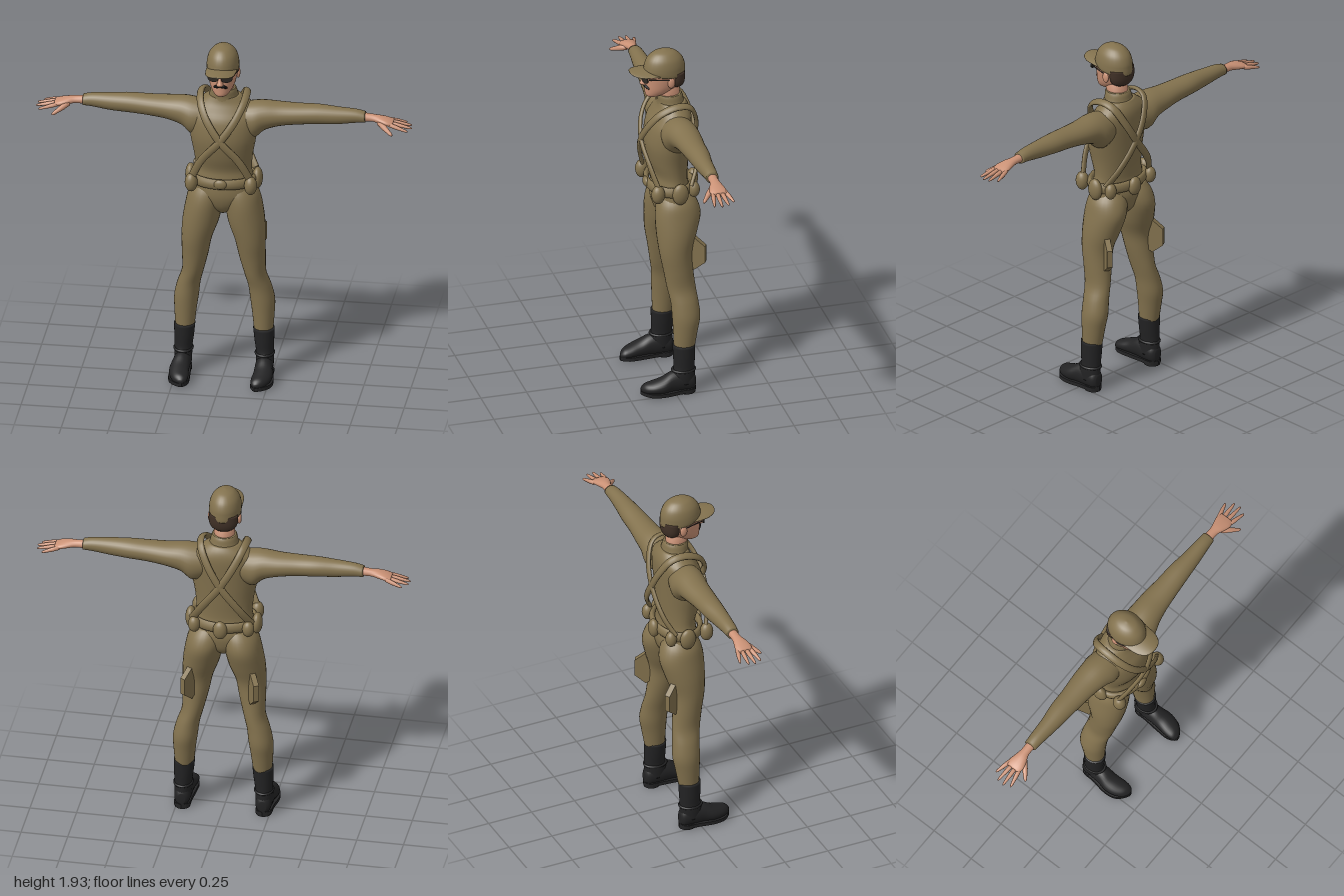
import * as THREE from 'three';
import { mergeVertices } from 'three/addons/utils/BufferGeometryUtils.js';

const material = (name, color) => new THREE.MeshStandardMaterial({ name, color });

// Smooth interpolation through rows of numbers
function smoothRows(rows, steps) {
  const out = [];
  for (let i = 0; i < rows.length - 1; i++) {
    const a = rows[Math.max(i - 1, 0)], b = rows[i], c = rows[i + 1], d = rows[Math.min(i + 2, rows.length - 1)];
    for (let s = 0; s < steps; s++) {
      const t = s / steps;
      out.push(b.map((_, k) => b[k] + 0.5 * t * (c[k] - a[k]
        + t * (2 * a[k] - 5 * b[k] + 4 * c[k] - d[k] + t * (3 * (b[k] - c[k]) + d[k] - a[k])))));
    }
  }
  out.push(rows[rows.length - 1]);
  return out;
}

// Elliptical cross-sections along an axis; row = [position, centreA, centreB, radiusA, radiusB]
function loft(axis, rows, { sides = 28, steps = 4, rule = null } = {}) {
  const rings = smoothRows(rows, steps), pos = [], index = [];
  const put = (t, a, b) => {
    const p = axis === 'x' ? [t, a, b] : axis === 'y' ? [a, t, b] : [a, b, t];
    if (rule) rule(p);
    pos.push(...p);
  };
  for (const [t, a, b, ra, rb] of rings) {
    for (let j = 0; j < sides; j++) {
      const q = (j / sides) * Math.PI * 2;
      put(t, a + ra * Math.cos(q), b + rb * Math.sin(q));
    }
  }
  const last = rings.length - 1, flip = (axis === 'y') !== (rows[0][0] > rows[rows.length - 1][0]);
  const tri = (a, b, c) => (flip ? index.push(a, c, b) : index.push(a, b, c));
  for (let i = 0; i < last; i++) for (let j = 0; j < sides; j++) {
    const k = (j + 1) % sides, a = i * sides + j, b = i * sides + k;
    tri(a, b, b + sides);
    tri(a, b + sides, a + sides);
  }
  for (const i of [0, last]) {
    const centre = pos.length / 3;
    put(rings[i][0], rings[i][1], rings[i][2]);
    for (let j = 0; j < sides; j++) {
      const a = i * sides + j, b = i * sides + (j + 1) % sides;
      i ? tri(centre, a, b) : tri(centre, b, a);
    }
  }
  const geo = new THREE.BufferGeometry();
  geo.setAttribute('position', new THREE.Float32BufferAttribute(pos, 3));
  geo.setIndex(index);
  geo.computeVertexNormals();
  return geo;
}

// Flattened band swept along a curve, its face turned away from a centre
function band(points, width, thick, centre, closed = false) {
  const curve = new THREE.CatmullRomCurve3(points.map(p => new THREE.Vector3(...p)), closed);
  const n = 64, m = 10, pos = [], index = [];
  for (let i = 0; i <= n; i++) {
    const p = curve.getPointAt(i / n), t = curve.getTangentAt(i / n);
    const out = p.clone().sub(centre);
    out.addScaledVector(t, -out.dot(t)).normalize();
    const side = new THREE.Vector3().crossVectors(t, out);
    for (let j = 0; j < m; j++) {
      const q = (j / m) * Math.PI * 2;
      const v = p.clone().addScaledVector(out, Math.cos(q) * thick).addScaledVector(side, Math.sin(q) * width);
      pos.push(v.x, v.y, v.z);
      if (i < n) {
        const a = i * m + j, b = i * m + (j + 1) % m;
        index.push(a, b, b + m, a, b + m, a + m);
      }
    }
  }
  const geo = new THREE.BufferGeometry();
  geo.setAttribute('position', new THREE.Float32BufferAttribute(pos, 3));
  geo.setIndex(index);
  geo.computeVertexNormals();
  return geo;
}

const ball = (x, y, z, rx, ry, rz) => new THREE.SphereGeometry(1, 20, 14).scale(rx, ry, rz).translate(x, y, z);

// Rounded tapering rod between two points
function rod(from, to, r1, r2) {
  const a = new THREE.Vector3(...from), d = new THREE.Vector3(...to).sub(a), L = d.length();
  const profile = [[0, 0], [r1, 0.001], [r1, L * 0.4], [r2, L * 0.88], [r2 * 0.6, L * 0.97], [0, L]];
  const geo = new THREE.LatheGeometry(profile.map(p => new THREE.Vector2(...p)), 10);
  geo.applyQuaternion(new THREE.Quaternion().setFromUnitVectors(new THREE.Vector3(0, 1, 0), d.normalize()));
  return geo.translate(a.x, a.y, a.z);
}

function mirrored(geo) {
  const g = geo.index ? geo.clone() : mergeVertices(geo);
  g.scale(-1, 1, 1);
  const ix = g.index.array;
  for (let i = 0; i < ix.length; i += 3) [ix[i], ix[i + 1]] = [ix[i + 1], ix[i]];
  return g;
}

export function createModel() {
  const group = new THREE.Group();
  const khaki = material('khaki cloth', 0x83724e), skin = material('skin', 0xcb9276);
  const leather = material('black leather', 0x232324), hairBrown = material('dark brown hair', 0x3f3026);
  const black = material('moustache black', 0x121010), glass = material('tinted lens', 0x2e2924);
  const add = (name, geo, mat) => {
    const mesh = new THREE.Mesh(geo, mat);
    mesh.name = name;
    group.add(mesh);
  };
  const pair = (name, geo, mat) => {
    add(name + 'Left', geo, mat);
    add(name + 'Right', mirrored(geo), mat);
  };

  // Uniform
  add('torso', loft('y', [[0.96, 0, -0.03, 0.03, 0.05], [1.0, 0, -0.035, 0.1, 0.085], [1.05, 0, -0.035, 0.16, 0.102],
    [1.1, 0, -0.035, 0.17, 0.105], [1.17, 0, -0.03, 0.157, 0.092], [1.22, 0, -0.03, 0.15, 0.09], [1.3, 0, -0.02, 0.157, 0.106],
    [1.4, 0, -0.015, 0.175, 0.118], [1.5, 0, -0.025, 0.185, 0.115], [1.56, 0, -0.04, 0.17, 0.1],
    [1.6, 0, -0.045, 0.125, 0.085], [1.63, 0, -0.04, 0.085, 0.072]]), khaki);
  add('collar', loft('y', [[1.6, 0, -0.04, 0.09, 0.078], [1.63, 0, -0.036, 0.077, 0.07], [1.66, 0, -0.032, 0.07, 0.068],
    [1.675, 0, -0.03, 0.064, 0.062]]), khaki);
  pair('sleeve', loft('x', [[0.08, 1.5, -0.035, 0.08, 0.08], [0.16, 1.492, -0.04, 0.102, 0.095], [0.22, 1.517, -0.045, 0.08, 0.085],
    [0.3, 1.527, -0.05, 0.064, 0.075], [0.4, 1.533, -0.05, 0.056, 0.065], [0.5, 1.537, -0.052, 0.053, 0.058],
    [0.6, 1.537, -0.05, 0.047, 0.047], [0.7, 1.54, -0.052, 0.037, 0.038], [0.75, 1.536, -0.053, 0.03, 0.034]]), khaki);
  pair('trouserLeg', loft('y', [[1.12, 0.08, -0.04, 0.07, 0.08], [1.07, 0.09, -0.045, 0.095, 0.108], [1.0, 0.104, -0.047, 0.099, 0.122],
    [0.9, 0.122, -0.035, 0.097, 0.108], [0.8, 0.142, -0.025, 0.081, 0.088], [0.7, 0.152, -0.035, 0.07, 0.08],
    [0.6, 0.165, -0.048, 0.058, 0.077], [0.52, 0.188, -0.06, 0.061, 0.074], [0.44, 0.202, -0.065, 0.065, 0.075],
    [0.36, 0.207, -0.06, 0.059, 0.066], [0.26, 0.209, -0.053, 0.05, 0.055]]), khaki);

  // Hands
  pair('palm', loft('x', [[0.73, 1.536, -0.053, 0.024, 0.027], [0.79, 1.534, -0.053, 0.02, 0.025], [0.83, 1.528, -0.05, 0.021, 0.036],
    [0.87, 1.52, -0.05, 0.018, 0.046], [0.9, 1.514, -0.052, 0.012, 0.041]], { sides: 16 }), skin);
  const fingers = [[-0.02, 0.982, 1.488, 0], [-0.042, 1.0, 1.492, -0.038], [-0.065, 0.995, 1.494, -0.075], [-0.086, 0.965, 1.494, -0.112]];
  for (const [z, x, y, tipZ] of fingers) pair('finger', rod([0.875, 1.516, z], [x, y, tipZ], 0.0115, 0.007), skin);
  pair('thumb', rod([0.825, 1.52, -0.03], [0.905, 1.478, 0.04], 0.015, 0.009), skin);

  // Boots
  pair('bootShaft', loft('y', [[0.28, 0.21, -0.05, 0.056, 0.06], [0.21, 0.213, -0.05, 0.052, 0.058], [0.15, 0.216, -0.05, 0.047, 0.056],
    [0.11, 0.217, -0.045, 0.047, 0.062], [0.06, 0.217, -0.045, 0.045, 0.062]]), leather);
  pair('bootFoot', loft('z', [[-0.11, 0.217, 0.06, 0.02, 0.03], [-0.09, 0.217, 0.065, 0.04, 0.055], [-0.03, 0.217, 0.07, 0.046, 0.062],
    [0.02, 0.219, 0.068, 0.047, 0.058], [0.07, 0.223, 0.055, 0.052, 0.045], [0.12, 0.216, 0.047, 0.05, 0.034],
    [0.16, 0.206, 0.04, 0.036, 0.026], [0.18, 0.2, 0.035, 0.012, 0.01]],
  { rule: p => { p[1] = Math.max(p[1], 0.02); } }), leather);
  const outline = new THREE.Shape();
  outline.moveTo(0.217, -0.114);
  outline.splineThru([[0.258, -0.09], [0.264, -0.02], [0.278, 0.07], [0.262, 0.14], [0.2, 0.184], [0.166, 0.14],
    [0.166, 0.07], [0.174, -0.02], [0.178, -0.09], [0.217, -0.114]].map(p => new THREE.Vector2(...p)));
  const sole = new THREE.ExtrudeGeometry(outline, { depth: 0.02, bevelEnabled: false, curveSegments: 3 });
  pair('bootSole', sole.rotateX(Math.PI / 2).translate(0, 0.028, 0), leather);
  pair('bootHeel', new THREE.CylinderGeometry(1, 1, 0.03, 20).scale(0.042, 1, 0.045).translate(0.217, 0.015, -0.066), leather);
  pair('bootStrap', new THREE.TorusGeometry(1, 0.12, 8, 24).rotateX(Math.PI / 2).scale(0.048, 0.06, 0.06).translate(0.216, 0.135, -0.047), leather);

  // Head
  add('neck', loft('y', [[1.6, 0, -0.035, 0.055, 0.055], [1.72, 0, -0.02, 0.055, 0.062]], { steps: 1 }), skin);
  add('head', loft('y', [[1.665, 0, 0.062, 0.018, 0.024], [1.678, 0, 0.05, 0.04, 0.051], [1.71, 0, 0.022, 0.062, 0.081],
    [1.75, 0, 0.004, 0.074, 0.1], [1.8, 0, -0.002, 0.08, 0.105], [1.86, 0, -0.005, 0.074, 0.095]]), skin);
  add('nose', loft('y', [[1.735, 0, 0.1, 0.01, 0.01], [1.746, 0, 0.108, 0.018, 0.024], [1.77, 0, 0.1, 0.011, 0.021],
    [1.8, 0, 0.096, 0.008, 0.012]], { sides: 12 }), skin);
  pair('ear', ball(0.079, 1.765, -0.02, 0.011, 0.03, 0.02), skin);
  add('hair', loft('y', [[1.72, 0, -0.065, 0.045, 0.03], [1.735, 0, -0.062, 0.066, 0.044], [1.765, 0, -0.062, 0.077, 0.05],
    [1.81, 0, -0.06, 0.078, 0.05]]), hairBrown);
  add('moustacheCentre', ball(0, 1.737, 0.101, 0.018, 0.008, 0.014), black);
  pair('moustacheEnd', rod([0.005, 1.738, 0.106], [0.036, 1.722, 0.087], 0.01, 0.007), black);

  // Sunglasses
  const lens = new THREE.CylinderGeometry(1, 1, 0.006, 20).rotateX(Math.PI / 2).scale(0.031, 0.021, 1);
  pair('lens', lens.rotateY(0.32).translate(0.037, 1.785, 0.113), glass);
  add('lensBridge', new THREE.BoxGeometry(0.03, 0.006, 0.006).translate(0, 1.797, 0.122), glass);
  pair('glassesArm', rod([0.066, 1.793, 0.1], [0.084, 1.785, -0.015], 0.003, 0.003), glass);

  // Cap
  add('capCrown', loft('y', [[1.795, 0, -0.004, 0.084, 0.109], [1.815, 0, -0.003, 0.086, 0.112], [1.85, 0, -0.003, 0.083, 0.108],
    [1.885, 0, -0.003, 0.072, 0.093], [1.912, 0, -0.003, 0.05, 0.065], [1.924, 0, -0.003, 0.028, 0.036], [1.93, 0, -0.003, 0.004, 0.005]],
  { rule: p => { if (p[1] < 1.83) p[1] += 0.12 * p[2]; } }), khaki);
  add('capBrim', loft('z', [[0.04, 0, 1.826, 0.082, 0.006], [0.09, 0, 1.826, 0.08, 0.006], [0.13, 0, 1.825, 0.074, 0.006],
    [0.165, 0, 1.823, 0.056, 0.005], [0.183, 0, 1.821, 0.03, 0.004], [0.188, 0, 1.82, 0.004, 0.002]],
  { rule: p => { p[1] -= 2.8 * p[0] * p[0]; } }), khaki);
  add('capButton', ball(0, 1.924, -0.05, 0.009, 0.006, 0.009).translate(0, -0.014, 0), skin);

  // Crossed shoulder straps
  const strap = [[-0.158, 1.18, 0.07], [-0.1, 1.3, 0.105], [0, 1.42, 0.125], [0.075, 1.53, 0.1], [0.112, 1.605, 0.045],
    [0.122, 1.64, -0.04], [0.112, 1.625, -0.11], [0.07, 1.54, -0.155], [0, 1.42, -0.17], [-0.1, 1.28, -0.152], [-0.158, 1.18, -0.105]];
  pair('shoulderStrap', band(strap, 0.021, 0.011, new THREE.Vector3(0, 1.42, -0.03)), khaki);

  // Belt with pouches
  const loop = Array.from({ length: 16 }, (_, i) => {
    const q = (i / 16) * Math.PI * 2;
    return [0.166 * Math.cos(q), 1.155, -0.027 - 0.115 * Math.sin(q)];
  });
  add('belt', band(loop, 0.029, 0.016, new THREE.Vector3(0, 1.155, -0.027), true), khaki);
  add('beltBuckle', ball(0, 1.16, 0.098, 0.035, 0.027, 0.016), khaki);
  pair('frontPouch', ball(0.158, 1.155, 0.075, 0.034, 0.052, 0.036), khaki);
  pair('sidePouch', ball(0.178, 1.15, -0.042, 0.028, 0.06, 0.044), khaki);
  pair('rearPouch', ball(0.145, 1.155, -0.125, 0.032, 0.045, 0.03), khaki);
  add('backPouch', ball(0, 1.15, -0.158, 0.038, 0.052, 0.028), khaki);

  // Flat six-sided pouches standing out from the thighs
  const thigh = new THREE.CylinderGeometry(1, 1, 1, 6).scale(0.068, 0.03, 0.095).rotateX(Math.PI / 2).rotateY(Math.PI / 3).toNonIndexed();
  thigh.computeVertexNormals();
  pair('thighPouch', thigh.translate(0.168, 0.79, -0.122), khaki);

  return group;
}
